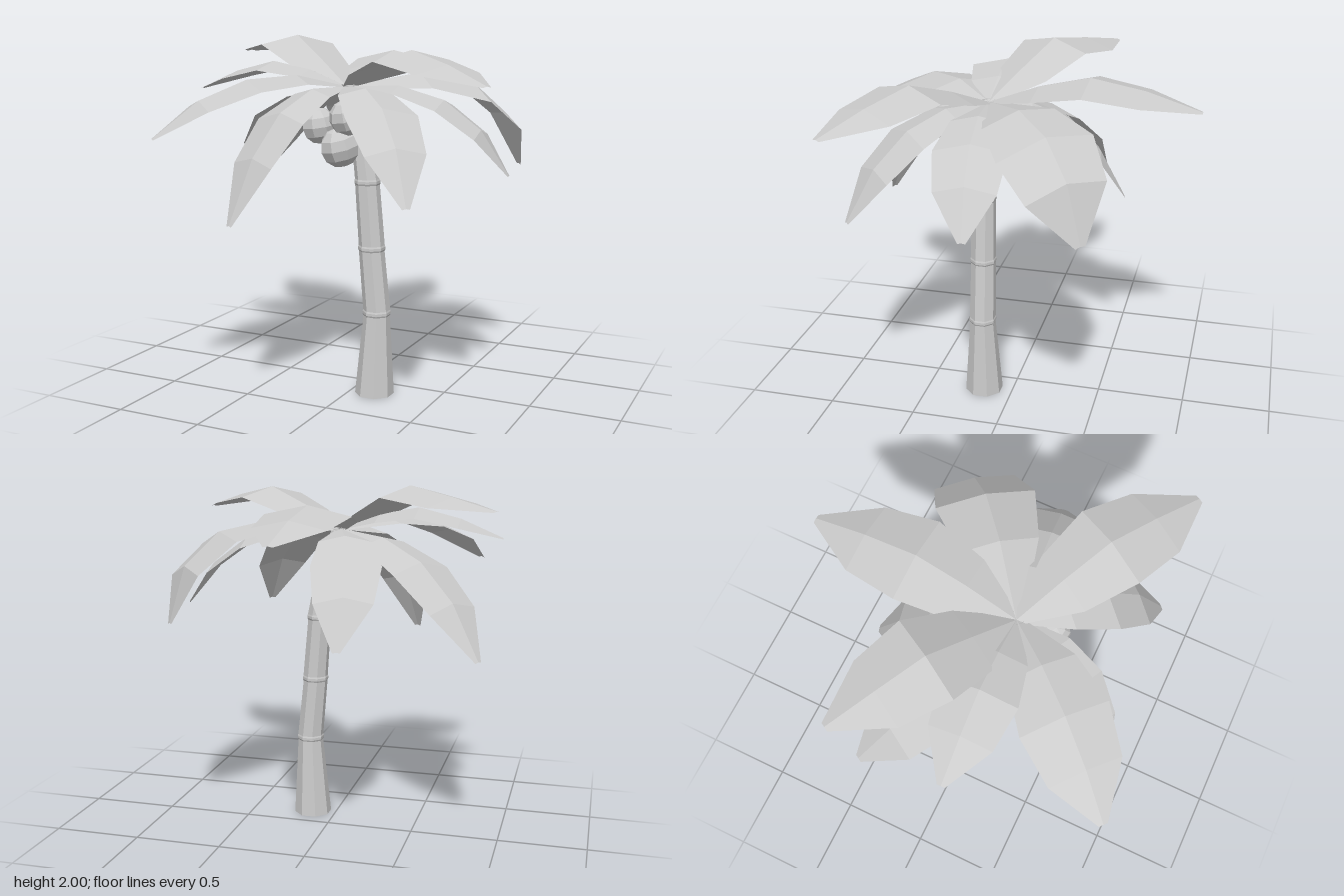
import * as THREE from 'three';

const HUB = new THREE.Vector3(-0.03, 1.73, 0.17);

function facetedMesh(name, positions, index, material) {
  const indexed = new THREE.BufferGeometry();
  indexed.setAttribute('position', new THREE.Float32BufferAttribute(positions, 3));
  indexed.setIndex(index);
  const geometry = indexed.toNonIndexed();
  geometry.computeVertexNormals();
  const mesh = new THREE.Mesh(geometry, material);
  mesh.name = name;
  return mesh;
}

// Leaning eight-sided open trunk lofted through rings of [x, y, apothem]
function makeTrunk(material) {
  const rings = [[0.14, 0, 0.102]];
  const joints = [[0.153, 0.475, 0.069], [0.122, 0.842, 0.066], [0.096, 1.212, 0.063]];
  for (const [x, y, r] of joints) {
    // Small raised collar at each joint
    rings.push([x, y - 0.016, r], [x, y - 0.007, r + 0.004], [x, y + 0.007, r + 0.004], [x, y + 0.016, r + 0.001]);
  }
  rings.push([0.06, 1.47, 0.053], [-0.02, 1.74, 0.035]);
  const n = 8, pos = [], idx = [];
  for (const [x, y, apothem] of rings) {
    const r = apothem / Math.cos(Math.PI / n);
    for (let j = 0; j < n; j++) {
      const a = (j + 0.5) / n * Math.PI * 2;
      pos.push(x + r * Math.cos(a), y, HUB.z + r * Math.sin(a));
    }
  }
  for (let i = 0; i < rings.length - 1; i++) {
    for (let j = 0; j < n; j++) {
      const a = i * n + j, b = i * n + (j + 1) % n;
      idx.push(a, a + n, b, b, a + n, b + n);
    }
  }
  return facetedMesh('trunk', pos, idx, material);
}

// Tent-shaped frond: the ridge runs from the hub through mid to tip,
// as a smooth arc (kink 0) or two straight halves (kink 1); roll lowers one edge
function makeFrond([mid, tip, scale, kink = 0, roll = 0], material) {
  const m = new THREE.Vector3(...mid), end = new THREE.Vector3(...tip);
  const control = m.clone().multiplyScalar(2).addScaledVector(HUB, -0.5).addScaledVector(end, -0.5);
  const arc = new THREE.QuadraticBezierCurve3(HUB, control, end);
  const side = new THREE.Vector3(HUB.z - end.z, 0, end.x - HUB.x).normalize();
  const halfWidths = [0.03, 0.185, 0.24, 0.2, 0.025];
  const pos = [], idx = [];
  halfWidths.forEach((halfWidth, i) => {
    const t = i / (halfWidths.length - 1), w = halfWidth * scale;
    const straight = t < 0.5 ? HUB.clone().lerp(m, t * 2) : m.clone().lerp(end, t * 2 - 1);
    const p = arc.getPoint(t).lerp(straight, kink);
    for (const s of [-1, 0, 1]) {
      const v = p.clone().addScaledVector(side, s * w);
      v.y -= (0.22 * Math.abs(s) + roll * s) * w;
      pos.push(v.x, v.y, v.z);
    }
  });
  for (let i = 0; i < halfWidths.length - 1; i++) {
    for (let s = 0; s < 2; s++) {
      const a = i * 3 + s;
      idx.push(a, a + 1, a + 3, a + 1, a + 4, a + 3);
    }
  }
  return facetedMesh('frond', pos, idx, material);
}

export function createModel() {
  const model = new THREE.Group();
  model.name = 'palmTree';
  const material = new THREE.MeshStandardMaterial({ color: 0xcccccc, flatShading: true, side: THREE.DoubleSide });

  model.add(makeTrunk(material));

  // Fronds: ridge midpoint, tip, width scale, kink, roll
  const fronds = [
    // Raised crown
    [[0.0, 1.91, -0.40], [0.02, 1.77, -1.0], 1, 0.5],
    [[0.54, 1.745, -0.275], [0.75, 1.27, -0.50], 1.14, 0, 0.12],
    [[-0.48, 2.0, -0.10], [-0.97, 1.90, -0.39], 1, 0.9],
    [[-0.48, 1.86, 0.18], [-0.95, 1.70, 0.2], 0.85, 0.4],
    [[-0.40, 1.78, 0.60], [-0.74, 1.49, 0.98], 1],
    [[0.47, 1.94, 0.45], [0.97, 1.79, 0.75], 1, 0.7],
    // Drooping skirt
    [[-0.22, 1.61, 0.57], [-0.36, 1.05, 0.87], 0.85],
    [[0.34, 1.65, 0.52], [0.59, 1.2, 0.79], 0.82],
    [[0.52, 1.67, 0.12], [0.87, 1.28, 0.07], 0.82],
    [[-0.54, 1.59, -0.08], [-0.90, 1.12, -0.35], 0.92],
    [[-0.17, 1.62, -0.26], [-0.20, 1.18, -0.58], 0.8],
  ];
  const crown = new THREE.Group();
  crown.name = 'fronds';
  for (const frond of fronds) crown.add(makeFrond(frond, material));
  model.add(crown);

  // Coconut cluster under the crown
  const cluster = new THREE.Group();
  cluster.name = 'coconuts';
  for (const [x, y, z, r] of [[0.055, 1.575, 0.34, 0.098], [0.01, 1.415, 0.335, 0.108], [-0.14, 1.52, 0.28, 0.1]]) {
    const nut = new THREE.Mesh(new THREE.SphereGeometry(r, 8, 6), material);
    nut.name = 'coconut';
    nut.position.set(x, y, z);
    nut.rotation.set(0.2, x * 5, 0.15);
    cluster.add(nut);
  }
  model.add(cluster);

  return model;
}
